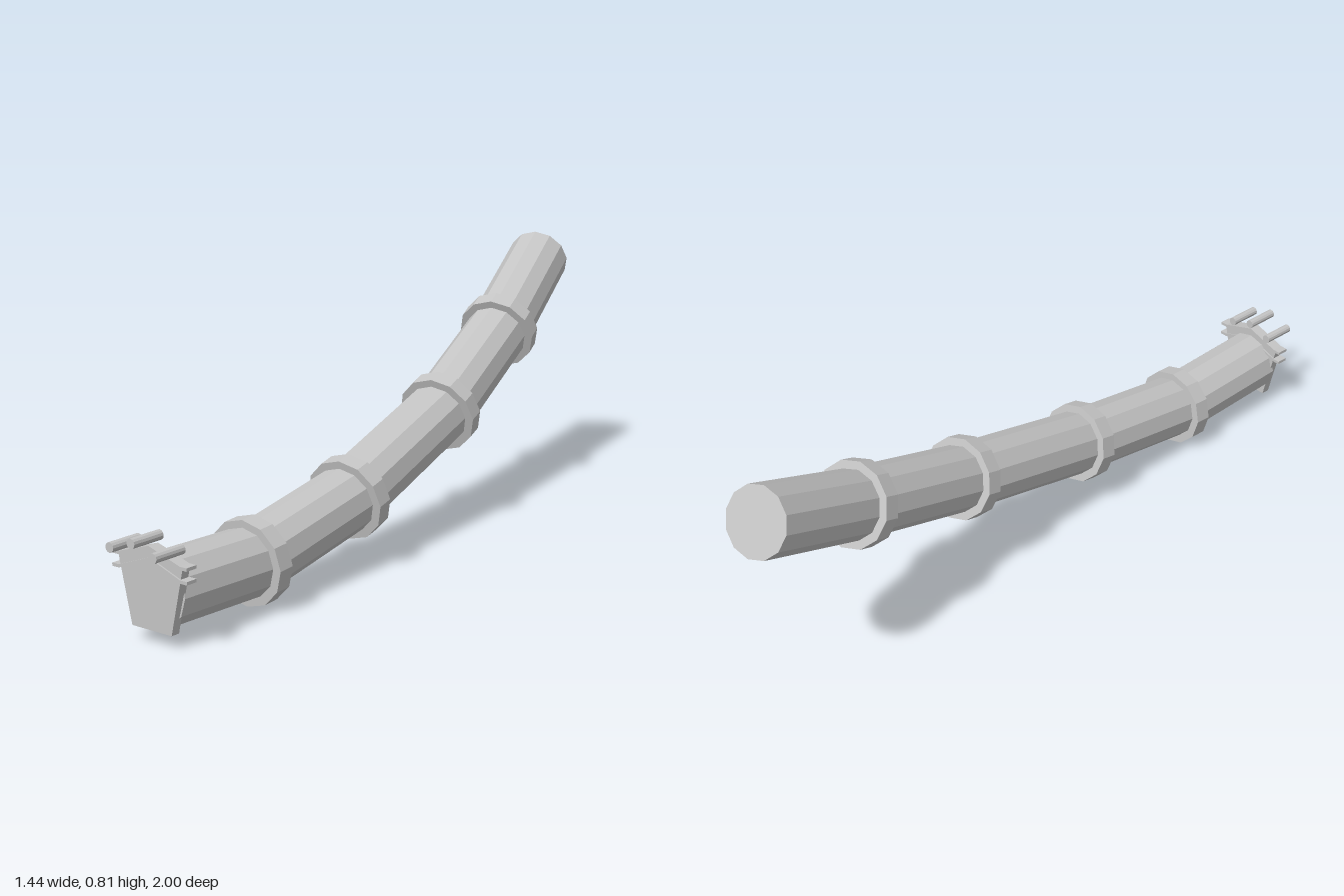
import * as THREE from 'three';

export function createModel() {
  const model = new THREE.Group();
  const grey = new THREE.MeshStandardMaterial({ color: 0xc4c4c4, flatShading: true });
  grey.name = 'grey';

  // Centre line of the pipe, from the low end to the high end
  const path = [
    [-0.60, 0.14, 0.873], [-0.36, 0.128, 0.588], [-0.077, 0.205, 0.236],
    [0.225, 0.354, -0.196], [0.452, 0.534, -0.59], [0.63, 0.722, -0.94],
  ].map((p) => new THREE.Vector3(...p));

  // Twelve-sided cylinder along a direction, with a corner on top
  function tube(name, centre, direction, radius, length) {
    const mesh = new THREE.Mesh(new THREE.CylinderGeometry(radius, radius, length, 12), grey);
    const axis = direction.clone().normalize();
    const side = new THREE.Vector3().crossVectors(axis, new THREE.Vector3(0, 1, 0)).normalize();
    const up = new THREE.Vector3().crossVectors(axis, side);
    mesh.quaternion.setFromRotationMatrix(new THREE.Matrix4().makeBasis(up, axis, side));
    mesh.position.copy(centre);
    mesh.name = name;
    model.add(mesh);
  }

  // Straight pipe lengths
  const dirs = [];
  for (let i = 0; i < path.length - 1; i++) {
    const d = path[i + 1].clone().sub(path[i]);
    dirs.push(d.clone().normalize());
    tube('pipeSection' + (i + 1), path[i].clone().addScaledVector(d, 0.5), d, 0.1, d.length());
  }

  // Collars covering the joints
  for (let i = 1; i < path.length - 1; i++) {
    tube('collar' + i, path[i], dirs[i - 1].clone().add(dirs[i]), 0.125, 0.052);
  }

  // End plate, built facing +z and turned to the pipe
  const end = new THREE.Group();
  end.name = 'endFitting';
  end.position.set(-0.60, 0, 0.873);
  end.rotation.y = -0.72;
  model.add(end);

  function extruded(name, points, depth, z) {
    const shape = new THREE.Shape(points.map((p) => new THREE.Vector2(...p)));
    const geo = new THREE.ExtrudeGeometry(shape, { depth, bevelEnabled: false });
    const mesh = new THREE.Mesh(geo, grey);
    mesh.position.z = z;
    mesh.name = name;
    end.add(mesh);
  }

  extruded('endPlate',
    [[-0.07, 0.04], [0.07, 0.04], [0.113, 0.225], [0, 0.26], [-0.113, 0.225]], 0.027, -0.008);

  // Two thin roof-shaped strips with short level tips
  [['lowerEave', 0.237, 0.198], ['upperEave', 0.268, 0.234]].forEach(([name, peak, low]) => {
    const t = 0.009;
    extruded(name, [
      [-0.132, low - t], [-0.108, low - t], [0, peak - t], [0.108, low - t], [0.132, low - t],
      [0.132, low], [0.108, low], [0, peak], [-0.108, low], [-0.132, low],
    ], 0.036, -0.012);
  });

  // Three short rods on the roof
  for (const i of [-1, 0, 1]) {
    const rod = new THREE.Mesh(new THREE.CylinderGeometry(0.014, 0.014, 0.105, 12), grey);
    rod.rotation.x = Math.PI / 2;
    rod.position.set(i * 0.076, i === 0 ? 0.288 : 0.264, 0.034);
    rod.name = 'roofRod';
    end.add(rod);
  }

  return model;
}
